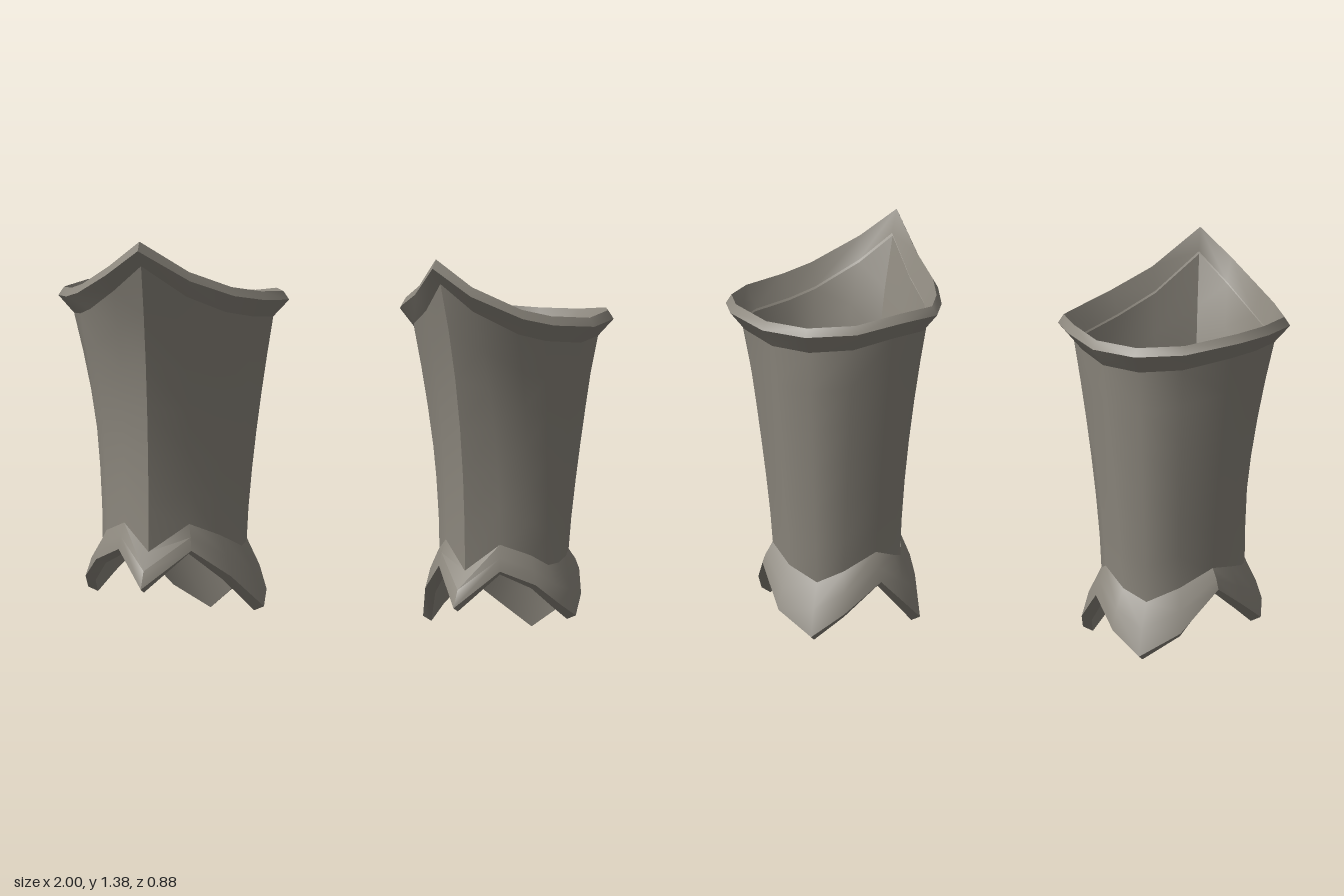
import * as THREE from 'three';
import { toCreasedNormals } from 'three/addons/utils/BufferGeometryUtils.js';

// Columns run round the bracer: front ridge, outer side, back, inner side.
// Outer edge of the flared rim: x, y, z
const RIM = [
  [0.55, 1.36, 0.44], [0.68, 1.265, 0.41], [0.83, 1.18, 0.30], [0.91, 1.15, 0.21], [1.0, 1.13, 0.06],
  [0.99, 1.13, -0.14], [0.93, 1.12, -0.27], [0.77, 1.09, -0.4], [0.6, 1.08, -0.44], [0.43, 1.09, -0.39],
  [0.3, 1.12, -0.27], [0.22, 1.13, -0.14], [0.25, 1.145, 0], [0.31, 1.175, 0.14], [0.42, 1.24, 0.28],
];
// Narrow ankle section: x, z
const LOW = [
  [0.59, 0.24], [0.7, 0.19], [0.79, 0.13], [0.83, 0.07], [0.84, 0],
  [0.83, -0.09], [0.8, -0.19], [0.71, -0.28], [0.6, -0.31], [0.51, -0.29],
  [0.42, -0.21], [0.38, -0.14], [0.375, -0.08], [0.41, 0.03], [0.48, 0.14],
];
// Zigzag cuff: top height, bottom height, outward flare
const CUFF = [
  [0.28, 0.16, 0.09], [0.37, 0.28, 0.03], [0.33, 0.23, 0.04], [0.29, 0.16, 0.06], [0.29, 0.11, 0.07],
  [0.3, 0.17, 0.055], [0.31, 0.24, 0.04], [0.25, 0.1, 0.06], [0.2, 0.02, 0.075], [0.24, 0.1, 0.06],
  [0.3, 0.2, 0.04], [0.28, 0.11, 0.07], [0.27, 0.06, 0.08], [0.32, 0.18, 0.05], [0.37, 0.28, 0.03],
];
const CX = 0.61, CZ = -0.03;

// Scale a rim point about the bracer axis and shift its height
const rimRing = (sx, sz, dy) =>
  RIM.map(([x, y, z]) => [CX + (x - CX) * sx, y + dy, CZ + (z - CZ) * sz]);

// Push the ankle section outward, with a height for each column
const cuffRing = (offset, height) => LOW.map(([x, z], i) => {
  const dx = x - CX, dz = z - CZ, k = offset(CUFF[i]) / Math.hypot(dx, dz);
  return [x + dx * k, height(CUFF[i]), z + dz * k];
});

// Skin closed rings, mirrored in x when side is -1
function loft(rings, side) {
  const n = rings[0].length, position = [], index = [];
  rings.forEach(r => r.forEach(([x, y, z]) => position.push(x * side, y, z)));
  for (let r = 0; r < rings.length - 1; r++) {
    for (let i = 0; i < n; i++) {
      const j = (i + 1) % n;
      const a = r * n + i, b = r * n + j, c = b + n, d = a + n;
      if (side > 0) index.push(a, b, c, a, c, d);
      else index.push(a, c, b, a, d, c);
    }
  }
  const g = new THREE.BufferGeometry();
  g.setAttribute('position', new THREE.Float32BufferAttribute(position, 3));
  g.setIndex(index);
  return toCreasedNormals(g, 0.65);
}

function buildBracer(side, material) {
  const group = new THREE.Group();
  group.name = side > 0 ? 'leftBracer' : 'rightBracer';
  const add = (name, rings) => {
    const mesh = new THREE.Mesh(loft(rings, side), material);
    mesh.name = name;
    group.add(mesh);
  };

  // Tapered sleeve, widening later at the front than at the back
  const foot = cuffRing(() => 0, c => c[0] - 0.02);
  const head = rimRing(0.86, 0.89, -0.06);
  const sleeve = [];
  for (let s = 0; s <= 6; s++) {
    const t = s / 6;
    sleeve.push(foot.map((p, i) => {
      const q = head[i], w = Math.pow(t, 1.65 + 1.7 * q[2]);
      return [p[0] + (q[0] - p[0]) * w, p[1] + (q[1] - p[1]) * t, p[2] + (q[2] - p[2]) * w];
    }));
  }
  add('sleeve', sleeve);

  // Flared rim with a bevelled lip
  add('rim', [head, rimRing(1, 1, 0), rimRing(0.95, 0.95, 0.03), rimRing(0.85, 0.88, -0.05)]);

  // Thick pointed cuff, from its inner top down and round to its outer top
  add('cuff', [
    cuffRing(() => -0.004, c => c[0] - 0.03),
    cuffRing(c => c[2] - 0.035, c => c[1] - 0.015),
    cuffRing(c => c[2], c => c[1]),
    cuffRing(c => c[2] * 0.65, c => (c[0] + c[1]) / 2),
    cuffRing(() => 0.002, c => c[0]),
  ]);
  return group;
}

export function createModel() {
  const metal = new THREE.MeshStandardMaterial({ color: 0x8e897f, side: THREE.DoubleSide });
  metal.name = 'warmGreyMetal';
  const model = new THREE.Group();
  model.name = 'bracers';
  for (const side of [1, -1]) model.add(buildBracer(side, metal));
  return model;
}
